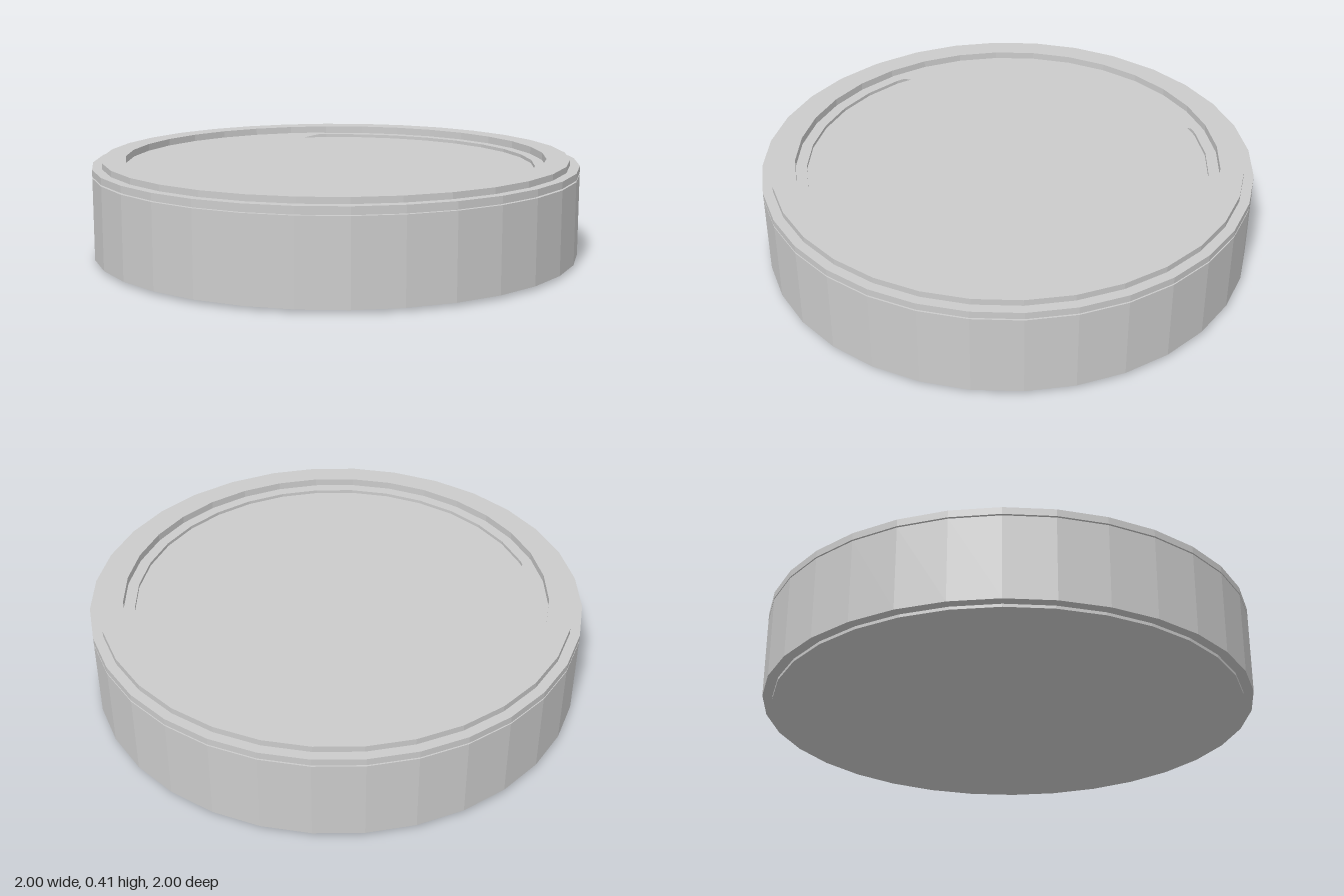
import * as THREE from 'three';

const SIDES = 32;
const material = new THREE.MeshStandardMaterial({ color: 0xcccccc, flatShading: true });
const openMaterial = new THREE.MeshStandardMaterial({ color: 0xcccccc, flatShading: true, side: THREE.DoubleSide });

// Faceted turned part from [radius, height] pairs
function turned(name, profile) {
  const points = profile.map(([r, y]) => new THREE.Vector2(r, y));
  const geometry = new THREE.LatheGeometry(points, SIDES).toNonIndexed();
  geometry.computeVertexNormals();
  const mesh = new THREE.Mesh(geometry, material);
  mesh.name = name;
  return mesh;
}

export function createModel() {
  const group = new THREE.Group();
  group.name = 'roundCase';

  // Lower drum with a slightly inset foot and a fine seam groove at its top
  group.add(turned('body', [
    [0, 0], [0.96, 0], [0.96, 0.012], [1, 0.012], [1, 0.346], [0.985, 0.346], [0.985, 0.352],
  ]));

  // Stepped rim, recess wall, narrow ledge and sunken floor
  group.add(turned('rim', [
    [0.985, 0.352], [1, 0.352], [1, 0.38], [0.96, 0.38], [0.96, 0.405], [0.865, 0.405],
    [0.865, 0.374], [0.82, 0.374], [0.82, 0.36], [0, 0.36],
  ]));

  // Thin plate over the back of the recess, cut off by a straight edge
  const outline = [];
  for (let i = 6; i <= 16; i++) {
    const a = (i / SIDES) * Math.PI * 2;
    outline.push(new THREE.Vector2(0.865 * Math.cos(a), 0.865 * Math.sin(a)));
  }
  const plate = new THREE.Mesh(new THREE.ShapeGeometry(new THREE.Shape(outline)), openMaterial);
  plate.name = 'backPlate';
  plate.rotation.x = -Math.PI / 2;
  plate.position.y = 0.376;
  group.add(plate);

  return group;
}
